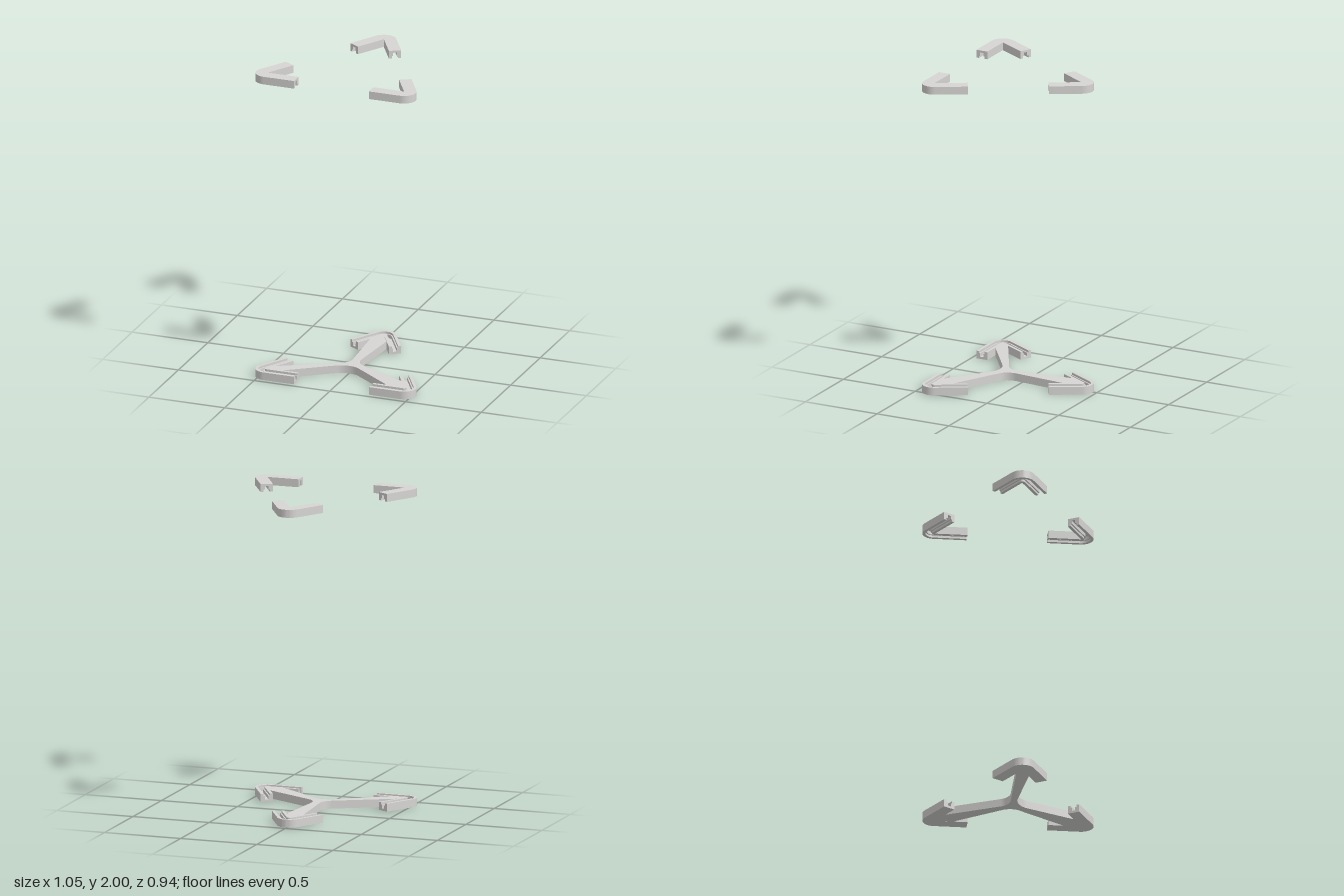
import * as THREE from 'three';
import { toCreasedNormals } from 'three/addons/utils/BufferGeometryUtils.js';

const H = 0.05;      // thickness of every part
const WIDTH = 0.077; // width of a bracket arm
const ARM = 0.203;   // arm length along its inner edge

// Bracket cross-section (distance from inner edge, height): a bar with a stepped channel in its top
const PROFILE = [
  [0, 0], [WIDTH, 0], [WIDTH, H], [0.058, H], [0.058, 0.036], [0.05, 0.036],
  [0.05, 0.014], [0.027, 0.014], [0.027, 0.036], [0.019, 0.036], [0.019, H], [0, H],
].map(([d, y]) => new THREE.Vector2(d, y));

// Sweeps the profile along one arm, round the outer corner and along the other arm
function bracketGeometry() {
  const stations = [];
  const corner = Math.PI / 3, steps = 16;
  const add = (a, x, z) => stations.push(PROFILE.map(
    (p) => [x + Math.cos(a) * p.x, p.y, z + Math.sin(a) * p.x]));
  const ex = -ARM * Math.cos(Math.PI / 6), ez = ARM * Math.sin(Math.PI / 6);
  add(corner, ex, ez);
  for (let i = 0; i <= steps; i++) add(corner * (1 - 2 * i / steps), 0, 0);
  add(-corner, ex, -ez);

  const pos = [];
  const tri = (...pts) => pts.forEach((p) => pos.push(...p));
  for (let s = 0; s < stations.length - 1; s++) {
    const A = stations[s], B = stations[s + 1];
    for (let i = 0; i < A.length; i++) {
      const j = (i + 1) % A.length;
      if (PROFILE[i].x + PROFILE[j].x === 0 && s > 0 && s <= steps) continue;
      tri(A[i], B[i], B[j]);
      tri(A[i], B[j], A[j]);
    }
  }
  // End faces
  const first = stations[0], last = stations[stations.length - 1];
  for (const [a, b, c] of THREE.ShapeUtils.triangulateShape(PROFILE, [])) {
    tri(first[a], first[b], first[c]);
    tri(last[a], last[c], last[b]);
  }
  const g = new THREE.BufferGeometry();
  g.setAttribute('position', new THREE.Float32BufferAttribute(pos, 3));
  return toCreasedNormals(g, 0.5);
}

// Three tapering spokes that meet in a filleted hub (x, z outline)
function spokesGeometry() {
  const s = new THREE.Shape();
  s.moveTo(0.008, -0.397);
  s.lineTo(0.064, -0.297);
  s.lineTo(0.033, 0.045);
  s.bezierCurveTo(0.03, 0.085, 0.047, 0.12, 0.08, 0.137);
  s.lineTo(0.398, 0.3);
  s.lineTo(0.449, 0.392);
  s.lineTo(0.333, 0.392);
  s.lineTo(0.066, 0.191);
  s.bezierCurveTo(0.028, 0.168, -0.028, 0.168, -0.066, 0.191);
  s.lineTo(-0.351, 0.394);
  s.lineTo(-0.45, 0.394);
  s.lineTo(-0.421, 0.342);
  s.lineTo(-0.066, 0.146);
  s.bezierCurveTo(-0.035, 0.128, -0.016, 0.095, -0.019, 0.055);
  s.lineTo(-0.046, -0.304);
  const g = new THREE.ExtrudeGeometry(s, { depth: H, bevelEnabled: false, curveSegments: 12 });
  g.rotateX(Math.PI / 2).translate(0, H, 0);
  return toCreasedNormals(g, 0.5);
}

export function createModel() {
  const model = new THREE.Group();
  model.name = 'threeArmFrame';
  const lightGrey = new THREE.MeshStandardMaterial({ color: 0xd6d5d3 });
  lightGrey.name = 'lightGrey';

  const spokes = new THREE.Mesh(spokesGeometry(), lightGrey);
  spokes.name = 'spokes';
  model.add(spokes);

  // A lower bracket, and a matching upper one turned over, at each corner
  const bracket = bracketGeometry();
  const corners = [
    ['back', 0.008, -0.397, 90],
    ['right', -0.45, 0.394, 210],
    ['left', 0.449, 0.392, -30],
  ];
  for (const [name, x, z, angle] of corners) {
    const corner = new THREE.Group();
    corner.name = name + 'Corner';
    corner.position.set(x, 0, z);
    corner.rotation.y = THREE.MathUtils.degToRad(angle);
    const lower = new THREE.Mesh(bracket, lightGrey);
    lower.name = name + 'LowerBracket';
    const upper = new THREE.Mesh(bracket, lightGrey);
    upper.name = name + 'UpperBracket';
    upper.position.y = 2;
    upper.rotation.x = Math.PI;
    corner.add(lower, upper);
    model.add(corner);
  }
  return model;
}
